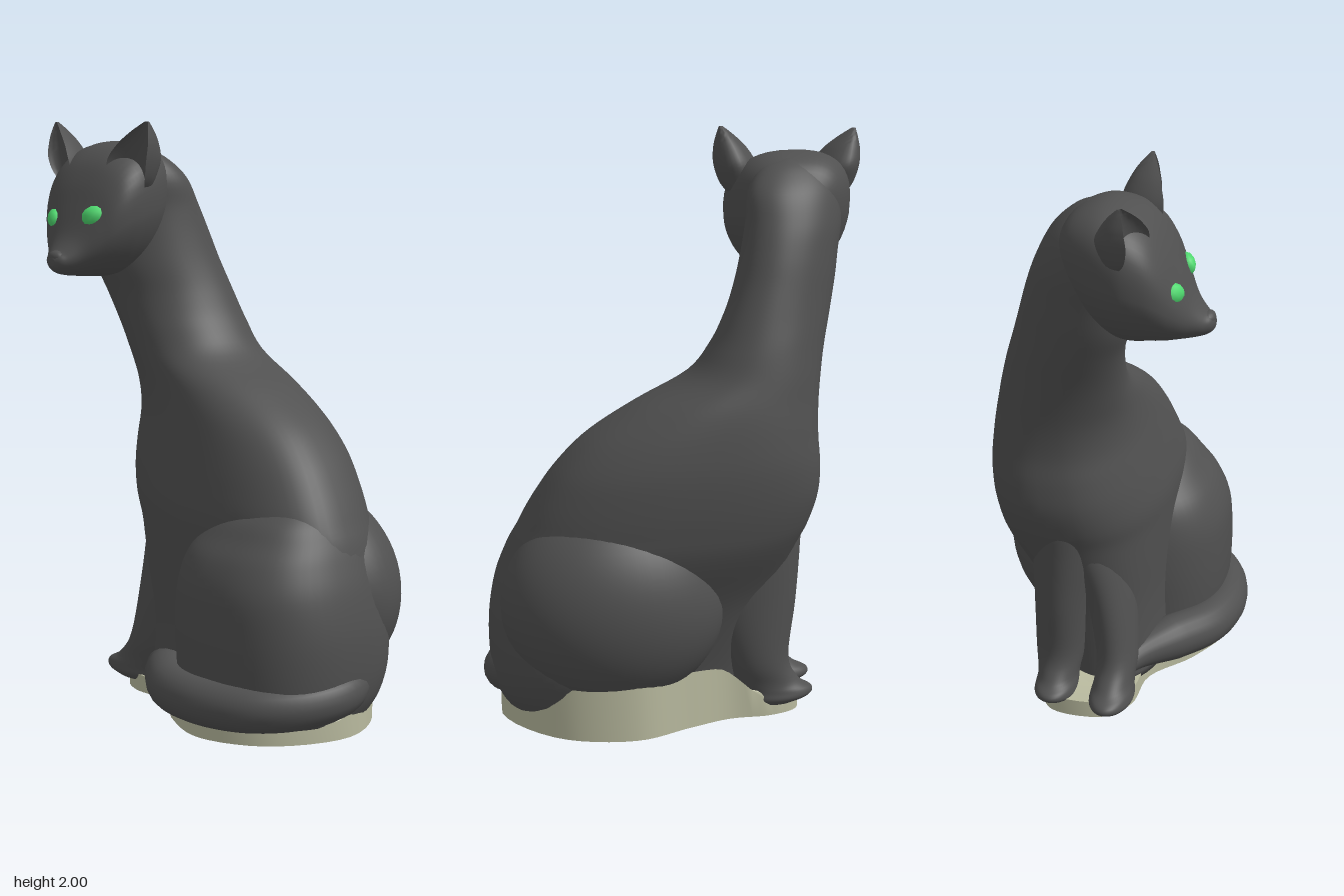
import * as THREE from 'three';
import { toCreasedNormals } from 'three/addons/utils/BufferGeometryUtils.js';

const V = (x, y, z) => new THREE.Vector3(x, y, z);
const { smoothstep, lerp } = THREE.MathUtils;
const furMat = new THREE.MeshStandardMaterial({ color: 0x505050 });
const eyeMat = new THREE.MeshStandardMaterial({ color: 0x4fd96f });
const baseMat = new THREE.MeshStandardMaterial({ color: 0xb8b99e });

// Catmull-Rom interpolation between rows of numbers
function smooth(rows, steps = 5) {
  const out = [];
  const at = i => rows[Math.min(Math.max(i, 0), rows.length - 1)];
  for (let i = 0; i < rows.length - 1; i++) {
    for (let k = 0; k < steps; k++) {
      const t = k / steps;
      out.push(at(i).map((b, c) => {
        const a = at(i - 1)[c], d = at(i + 1)[c], e = at(i + 2)[c];
        return b + 0.5 * t * (d - a + t * (2 * a - 5 * b + 4 * d - e + t * (3 * (b - d) + e - a)));
      }));
    }
  }
  out.push(rows[rows.length - 1]);
  return out;
}

// Closed skin over rings of points, with capped ends
function loft(rings) {
  const n = rings[0].length, pos = [], idx = [];
  rings.forEach(r => r.forEach(p => pos.push(p.x, p.y, p.z)));
  const centre = r => r.reduce((s, p) => s.add(p), V(0, 0, 0)).divideScalar(n);
  const last = rings.length - 1, c0 = rings.length * n, c1 = c0 + 1;
  [rings[0], rings[last]].forEach(r => pos.push(...centre(r).toArray()));
  for (let j = 0; j < n; j++) {
    const k = (j + 1) % n;
    for (let i = 0; i < last; i++) {
      const a = i * n + j, b = i * n + k;
      idx.push(a, a + n, b, b, a + n, b + n);
    }
    idx.push(c0, j, k, c1, last * n + k, last * n + j);
  }
  const g = new THREE.BufferGeometry();
  g.setAttribute('position', new THREE.Float32BufferAttribute(pos, 3));
  g.setIndex(idx);
  g.computeVertexNormals();
  return g;
}

const ring = (n, f) => Array.from({ length: n }, (_, j) => {
  const a = j / n * Math.PI * 2;
  return f(Math.cos(a), Math.sin(a), a);
});

const pow = (v, power) => Math.sign(v) * Math.abs(v) ** (2 / power);

// Rows are [y, xMin, xMax, zMin, zMax]; power 2 is an ellipse, higher is squarer,
// skew turns the section's long axis while keeping its extents
function stack(rows, power = () => 2, skew = () => 0, n = 56) {
  return loft(smooth(rows).map(([y, x0, x1, z0, z1]) => ring(n, (c, s, a) => V(
    (x0 + x1) / 2 + pow(Math.cos(a + skew(y)), power(y)) * (x1 - x0) / 2, y,
    (z0 + z1) / 2 + pow(s, power(y)) * (z1 - z0) / 2))));
}

export function createModel() {
  const model = new THREE.Group();
  const add = (name, geo, mat = furMat) => {
    const m = new THREE.Mesh(geo, mat);
    m.name = name;
    model.add(m);
    return m;
  };

  // Torso and neck
  add('body', stack([
    [0.05, -0.27, 0.57, -0.18, 0.2], [0.2, -0.28, 0.62, -0.21, 0.19],
    [0.4, -0.31, 0.625, -0.27, 0.19], [0.6, -0.38, 0.585, -0.345, 0.2],
    [0.7, -0.425, 0.545, -0.366, 0.2], [0.8, -0.453, 0.49, -0.376, 0.18],
    [0.9, -0.457, 0.42, -0.377, 0.155], [1.0, -0.45, 0.32, -0.367, 0.13],
    [1.1, -0.455, 0.17, -0.35, 0.11], [1.2, -0.47, -0.01, -0.325, 0.1],
    [1.3, -0.492, -0.09, -0.3, 0.105], [1.4, -0.52, -0.14, -0.27, 0.12],
    [1.5, -0.545, -0.178, -0.24, 0.15], [1.6, -0.56, -0.205, -0.21, 0.16],
    [1.7, -0.575, -0.225, -0.172, 0.16], [1.8, -0.57, -0.24, -0.12, 0.16],
    [1.87, -0.53, -0.29, -0.05, 0.14], [1.905, -0.46, -0.36, 0.01, 0.1],
  ], y => lerp(2.5, 2.1, smoothstep(y, 0.85, 1.3)),
  y => 0.47 * smoothstep(y, 0.95, 1.5) - 0.15 * smoothstep(y, 0.4, 0.7)));

  // Hind legs folded against the body
  add('frontHaunch', stack([
    [0.05, 0, 0.6, -0.25, 0.31], [0.12, -0.02, 0.635, -0.29, 0.335], [0.22, -0.03, 0.65, -0.32, 0.347],
    [0.35, -0.033, 0.65, -0.32, 0.35], [0.48, -0.022, 0.628, -0.31, 0.342],
    [0.58, 0, 0.594, -0.3, 0.305], [0.65, 0.05, 0.562, -0.28, 0.25],
    [0.71, 0.13, 0.525, -0.25, 0.195], [0.77, 0.24, 0.47, -0.18, 0.1],
  ], () => 2.4));
  const rear = add('rearHaunch', new THREE.SphereGeometry(1, 48, 32));
  rear.scale.set(0.385, 0.36, 0.285);
  rear.position.set(0.245, 0.43, -0.142);

  // Forelegs with paws pointing along -x, leaning into the chest: [name, z, paw shift, leg shift, girth]
  [['nearForeleg', 0.07, 0, 0.05, 1], ['farForeleg', -0.13, 0.055, 0, 1.2]].forEach(([name, z, paw, leg, girth]) => {
    const rows = [
      [0.035, -0.44, -0.22, 0.06], [0.055, -0.49, -0.21, 0.075],
      [0.08, -0.495, -0.2, 0.072], [0.115, -0.44, -0.18, 0.068],
      [0.2, -0.39, -0.15, 0.072], [0.4, -0.393, -0.08, 0.085],
      [0.6, -0.41, -0.06, 0.1], [0.75, -0.415, -0.1, 0.095], [0.9, -0.37, -0.16, 0.05],
    ];
    add(name, stack(rows.map(([y, x0, x1, r]) => {
      const zc = lerp(z, -0.09, smoothstep(y, 0.15, 0.95));
      const rz = r * lerp(1, girth, smoothstep(y, 0.08, 0.2));
      return [y, x0 + lerp(paw, leg, Math.min(1, y * 3)), x1, zc - rz, zc + rz];
    })));
  });

  // Tail wrapped round the rump to the forepaws
  const path = new THREE.CatmullRomCurve3([
    V(0.35, 0.22, -0.17), V(0.5, 0.19, -0.1), V(0.588, 0.155, 0.02), V(0.56, 0.132, 0.17), V(0.45, 0.122, 0.295),
    V(0.27, 0.12, 0.345), V(0.09, 0.122, 0.31), V(-0.06, 0.127, 0.2), V(-0.18, 0.12, 0.11), V(-0.31, 0.1, 0.06),
  ]);
  const up = V(0, 1, 0);
  add('tail', loft(Array.from({ length: 61 }, (_, i) => {
    const t = i / 60, p = path.getPoint(t);
    const side = path.getTangent(t).cross(up).normalize();
    const r = 0.08 * Math.min(1, 0.6 + t * 3, 0.3 + (1 - t) * 3);
    return ring(20, (c, s) => p.clone().addScaledVector(side, c * r).addScaledVector(up, s * r));
  })));

  // Head, flat on top and narrow at the jaw, rows from nose to nape: [z, yMin, yMax, halfWidth]
  const cx = -0.418;
  add('head', loft(smooth([
    [0.417, 1.515, 1.54, 0.014], [0.407, 1.5, 1.556, 0.036], [0.385, 1.488, 1.572, 0.056],
    [0.35, 1.48, 1.62, 0.088], [0.31, 1.475, 1.71, 0.138], [0.27, 1.47, 1.795, 0.178],
    [0.22, 1.467, 1.865, 0.203], [0.15, 1.465, 1.91, 0.211], [0.06, 1.49, 1.922, 0.19],
    [-0.03, 1.57, 1.88, 0.135], [-0.08, 1.65, 1.8, 0.06],
  ]).map(([z, y0, y1, w]) => {
    const top = lerp(2.5, 2, smoothstep(z, 0.25, 0.35));
    return ring(48, (c, s) => V(
      cx + 0.1 * Math.max(0, z - 0.15) + pow(c, s > 0 ? top : 2) * w * (1 + 0.17 * s),
      (y0 + y1) / 2 + pow(s, s > 0 ? top : 2) * (y1 - y0) / 2, z));
  })));

  const nose = add('nose', new THREE.SphereGeometry(1, 16, 12));
  nose.scale.set(0.034, 0.022, 0.022);
  nose.position.set(-0.392, 1.545, 0.395);

  // Cupped ears and faceted eyes, one per side
  // Ear rows are [y, inner offset, outer offset, front z, depth]
  const earRows = smooth([
    [1.75, 0.1, 0.185, 0.15, 0.05], [1.8, 0.09, 0.232, 0.195, 0.1], [1.86, 0.1, 0.254, 0.21, 0.13],
    [1.91, 0.135, 0.257, 0.2, 0.1], [1.95, 0.18, 0.25, 0.187, 0.06], [1.985, 0.228, 0.24, 0.17, 0.01],
  ]);
  [[1, 'left', 0.015], [-1, 'right', 0]].forEach(([s, side, lift]) => {
    add(side + 'Ear', toCreasedNormals(loft(earRows.map(([y, xin, xout, zf, d]) => {
      const w = (xout - xin) / 2;
      const r = ring(28, (c, k) => V(
        cx + s * ((xin + xout) / 2 + c * w),
        y + lift * smoothstep(y, 1.75, 1.985),
        zf - c * w * 0.25 - d * (k > 0 ? 0.4 * k : -k)));
      return s > 0 ? r : r.reverse();
    })), 1));

    const eye = add(side + 'Eye', new THREE.IcosahedronGeometry(1, 1), eyeMat);
    eye.scale.set(0.044, 0.035, 0.028);
    eye.position.set(-0.405 + s * 0.1, 1.673 + s * 0.01, 0.302);
    eye.rotation.set(0, s * 0.6, s * 0.3);
  });

  // Plinth, taller under the rump
  const outline = [
    [0.615, 0], [0.5, 0.27], [0.27, 0.365], [0.05, 0.28], [-0.12, 0.15], [-0.3, 0.13], [-0.4, 0.06],
    [-0.4, -0.13], [-0.3, -0.19], [-0.15, -0.2], [0, -0.26], [0.2, -0.348], [0.45, -0.28],
  ].map(([x, z]) => V(x, z, 0));
  const shape = new THREE.Shape(new THREE.CatmullRomCurve3(outline, true).getPoints(72)
    .map(p => new THREE.Vector2(p.x, p.y)));
  const plinth = new THREE.ExtrudeGeometry(shape, { depth: 1, bevelEnabled: false });
  plinth.rotateX(Math.PI / 2).translate(0, 1, 0);
  const p = plinth.attributes.position;
  for (let i = 0; i < p.count; i++) {
    const rump = smoothstep(p.getX(i), -0.3, -0.1) * smoothstep(-p.getZ(i), -0.1, 0.28);
    p.setY(i, p.getY(i) * (0.06 + 0.14 * rump));
  }
  add('plinth', toCreasedNormals(plinth, 0.6), baseMat);

  return model;
}
